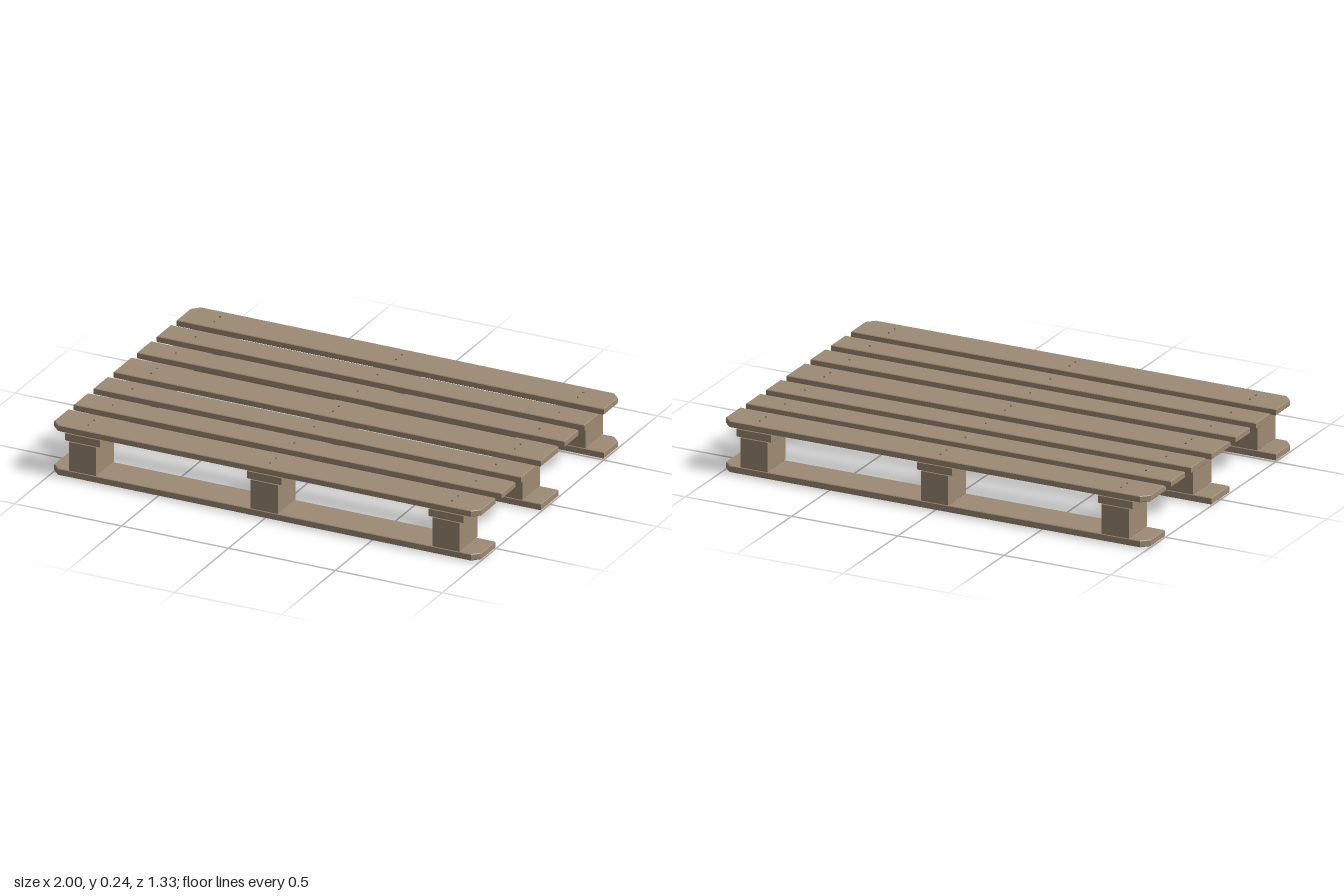
import * as THREE from 'three';

const WOOD = new THREE.MeshStandardMaterial({ color: 0x9d8a73 });
WOOD.name = 'weatheredWood';
const STEEL = new THREE.MeshStandardMaterial({ color: 0x6e6860 });
STEEL.name = 'nailSteel';

const BEVEL = 0.003;

// Lumber piece with eased edges; cut = corner chamfer, on the +z and/or -z side
function lumber(name, width, depth, y0, y1, x, z, cutFront = 0, cutBack = 0) {
  const w = width / 2 - BEVEL, d = depth / 2 - BEVEL;
  const outline = [];
  const corner = (sx, sy, cut, startOnX) => {
    if (!cut) return outline.push(new THREE.Vector2(sx * w, sy * d));
    const onX = new THREE.Vector2(sx * w, sy * (d - cut));
    const onY = new THREE.Vector2(sx * (w - cut), sy * d);
    outline.push(...(startOnX ? [onX, onY] : [onY, onX]));
  };
  // Shape y becomes -z once laid flat
  corner(-1, -1, cutFront, true);
  corner(1, -1, cutFront, false);
  corner(1, 1, cutBack, true);
  corner(-1, 1, cutBack, false);
  const geo = new THREE.ExtrudeGeometry(new THREE.Shape(outline), {
    depth: y1 - y0 - 2 * BEVEL,
    bevelEnabled: true, bevelSize: BEVEL, bevelThickness: BEVEL, bevelSegments: 1,
  });
  geo.rotateX(-Math.PI / 2);
  const mesh = new THREE.Mesh(geo, WOOD);
  mesh.name = name;
  mesh.position.set(x, y0 + BEVEL, z);
  return mesh;
}

export function createModel() {
  const pallet = new THREE.Group();
  pallet.name = 'pallet';

  const columns = [-0.85, 0, 0.85];
  const rows = [-0.585, 0, 0.585];
  const CUT = 0.032;
  const Y = { bottom: 0.004, block: 0.034, stringer: 0.169, deck: 0.205, top: 0.233 };

  const nailGeo = new THREE.CylinderGeometry(0.004, 0.004, 0.008, 8);
  const addNail = (x, y, z) => {
    const nail = new THREE.Mesh(nailGeo, STEEL);
    nail.name = 'nail';
    nail.position.set(x, y, z);
    pallet.add(nail);
  };

  // Bottom runners and the blocks standing on them
  for (const z of rows) {
    pallet.add(lumber('bottomBoard', 2, 0.164, Y.bottom, Y.block, 0, z,
      z > 0 ? CUT : 0, z < 0 ? CUT : 0));
    for (const x of columns) {
      pallet.add(lumber('block', 0.128, 0.164, Y.block, Y.stringer, x, z));
      for (const dz of [-0.027, 0.027]) addNail(x, 0.004, z + dz);
    }
  }

  // Stringers crossing front to back
  for (const x of columns) {
    pallet.add(lumber('stringer', 0.163, 1.334, Y.stringer, Y.deck, x, 0));
  }

  // Deck: wide boards over the blocks, narrow ones between
  const deck = rows.map((z) => ({ z, depth: 0.164, nails: [-0.027, 0.027] }));
  for (const z of [-0.386, -0.202, 0.202, 0.386]) deck.push({ z, depth: 0.13, nails: [0] });
  for (const { z, depth, nails } of deck) {
    pallet.add(lumber('deckBoard', 2, depth, Y.deck, Y.top, 0, z,
      z > 0.5 ? CUT : 0, z < -0.5 ? CUT : 0));
    for (const x of columns) for (const dz of nails) addNail(x, Y.top - 0.0005, z + dz);
  }

  return pallet;
}
